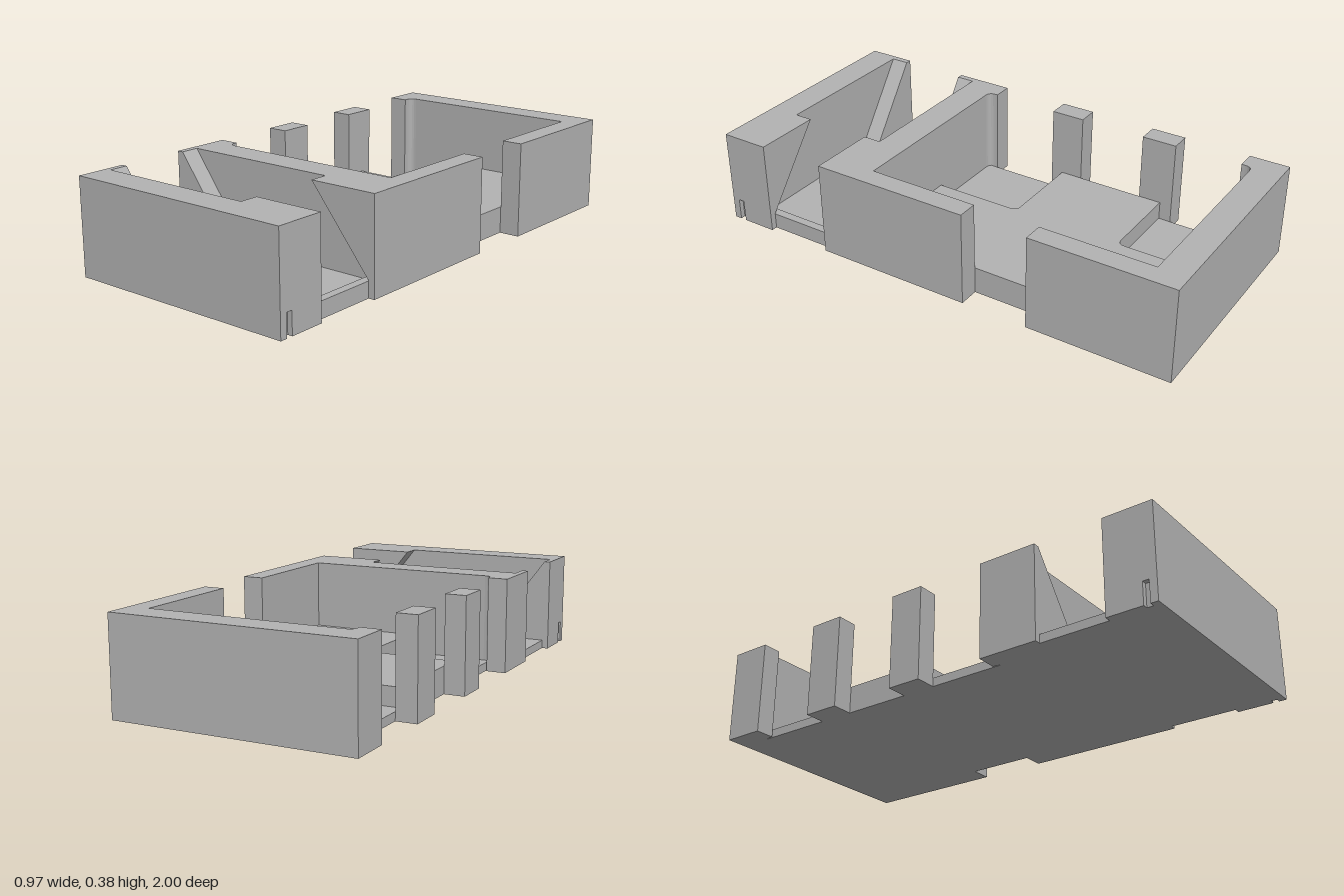
import * as THREE from 'three';

const H = 0.385;        // wall height
const FLOOR = 0.11;     // main room floor
const LOW = 0.035;      // sunken floors

// Closed shape from [x, y, radius?] points; a radius rounds that corner.
function outline(points) {
  const shape = new THREE.Shape();
  const n = points.length;
  const toward = (a, b, d) => {
    const l = Math.hypot(b[0] - a[0], b[1] - a[1]);
    return [a[0] + (b[0] - a[0]) * d / l, a[1] + (b[1] - a[1]) * d / l];
  };
  points.forEach((p, i) => {
    const r = p[2] || 0;
    const a = r ? toward(p, points[(i + n - 1) % n], r) : p;
    if (i === 0) shape.moveTo(a[0], a[1]); else shape.lineTo(a[0], a[1]);
    if (r) {
      const b = toward(p, points[(i + 1) % n], r);
      shape.quadraticCurveTo(p[0], p[1], b[0], b[1]);
    }
  });
  return shape;
}

export function createModel() {
  const group = new THREE.Group();
  const grey = new THREE.MeshStandardMaterial({ color: 0xb2b2b2 });
  grey.name = 'plainGrey';

  const add = (name, geometry) => {
    const mesh = new THREE.Mesh(geometry, grey);
    mesh.name = name;
    group.add(mesh);
  };
  const extrude = (points, depth) =>
    new THREE.ExtrudeGeometry(outline(points), { depth, bevelEnabled: false, curveSegments: 5 });

  // Floor-plan outline in (x, z), raised from y0 to y1
  const plan = (name, points, y0, y1) => {
    const g = extrude(points.map(([x, z, r]) => [x, -z, r]), y1 - y0);
    add(name, g.rotateX(-Math.PI / 2).translate(0, y0, 0));
  };
  // Elevation outline in (x, y), running from z0 to z1
  const elevation = (name, points, z0, z1) =>
    add(name, extrude(points, z1 - z0).translate(0, 0, z0));
  const box = (name, x0, x1, y0, y1, z0, z1) =>
    add(name, new THREE.BoxGeometry(x1 - x0, y1 - y0, z1 - z0)
      .translate((x0 + x1) / 2, (y0 + y1) / 2, (z0 + z1) / 2));

  // Back wall with its two side returns
  plan('backWall', [
    [-0.485, -1], [0.485, -1], [0.485, -0.415], [0.4, -0.415], [0.4, -0.88],
    [-0.405, -0.88, 0.03], [-0.405, -0.835], [-0.485, -0.835],
  ], 0, H);

  // Pillars between the side openings
  for (const [z0, z1] of [[-0.56, -0.415], [-0.14, 0]]) {
    box('pillar', -0.485, -0.4, 0, H, z0, z1);
  }

  // Wall between main room and passage
  plan('middleWall', [
    [-0.485, 0.28], [-0.405, 0.28], [-0.405, 0.32, 0.03], [0.4, 0.32], [0.4, -0.14],
    [0.485, -0.14], [0.485, 0.445], [-0.485, 0.445],
  ], 0, H);

  // Front wall, with a small upright slot at each end
  const slot = (d) => [
    [-0.485, 0.875], [0.485, 0.875], [0.485, 0.945], [0.485 - d, 0.945], [0.485 - d, 0.97],
    [0.485, 0.97], [0.485, 1], [-0.485, 1], [-0.485, 0.97], [-0.485 + d, 0.97],
    [-0.485 + d, 0.945], [-0.485, 0.945],
  ];
  plan('frontWallBase', slot(0.02), 0, 0.09);
  box('frontWall', -0.485, 0.485, 0.09, H, 0.875, 1);

  // Cheeks that leave a slanted pocket on both sides of the passage
  for (const [z0, z1] of [[0.445, 0.52], [0.8, 0.875]]) {
    elevation('slopedCheek',
      [[-0.485, 0], [-0.2, 0], [-0.2, LOW], [-0.46, H], [-0.485, H]], z0, z1);
    elevation('overhangingCheek',
      [[0.46, 0], [0.485, 0], [0.485, H], [0.2, H], [0.46, 0.065]], z0, z1);
  }

  // Passage floor and its raised sill
  box('passageFloor', -0.46, 0.46, 0, LOW, 0.445, 0.875);
  box('passageSill', 0.425, 0.46, 0, 0.065, 0.445, 0.875);

  // Main floor with two rounded recesses
  plan('mainFloor', [
    [-0.035, -0.88], [0.4, -0.88], [0.4, 0.32], [-0.035, 0.32],
    [-0.035, -0.05, 0.03], [-0.4, -0.05], [-0.4, -0.51], [-0.035, -0.51, 0.03],
  ], 0, FLOOR);
  for (const [z0, z1] of [[-0.88, -0.51], [-0.05, 0.32]]) {
    box('recessFloor', -0.4, -0.03, 0, LOW, z0, z1);
  }

  return group;
}
